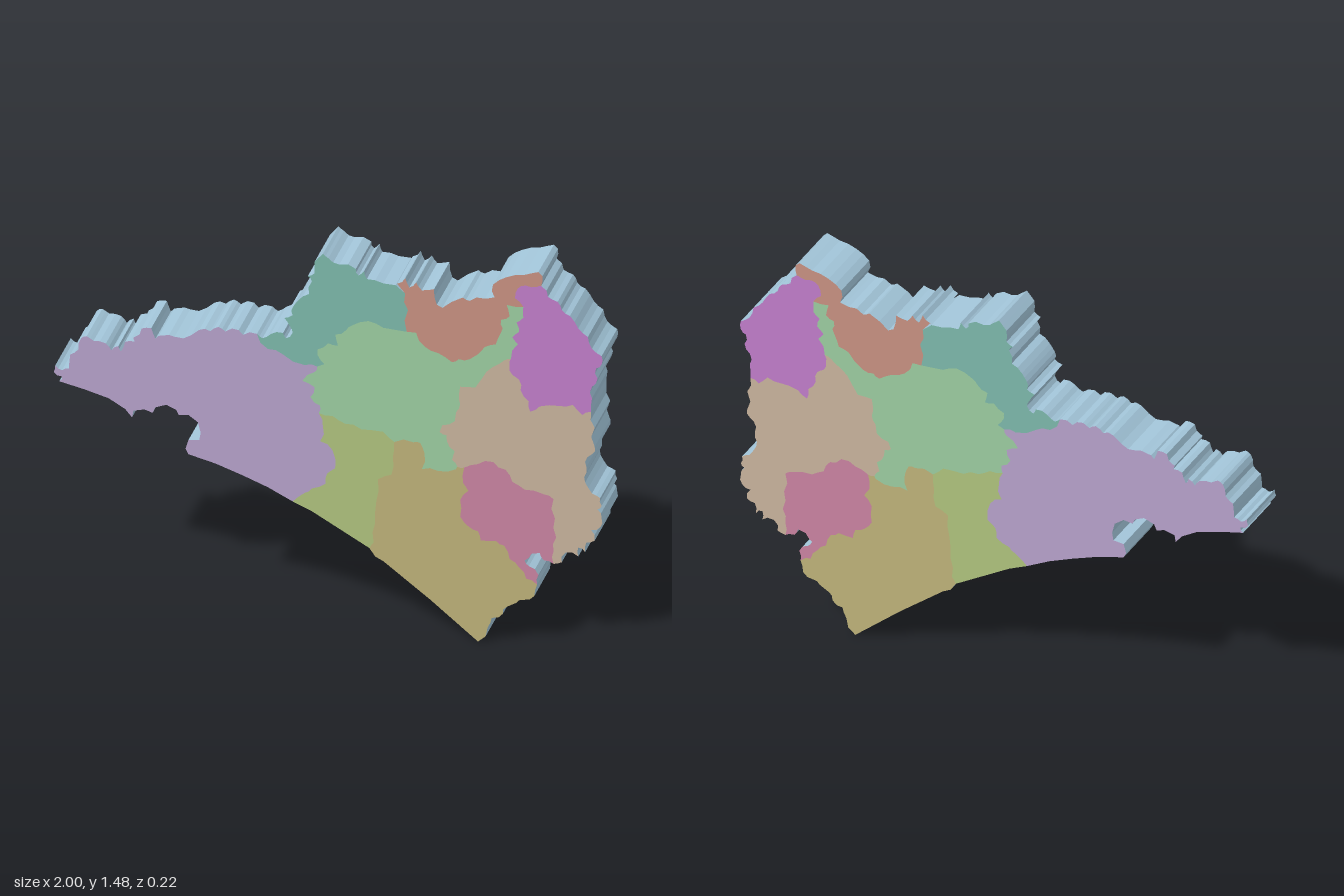
import * as THREE from 'three';

const HALF = 0.112; // half of the slab thickness

const mat = (name, color, side = THREE.FrontSide) => {
  const m = new THREE.MeshStandardMaterial({ color, side });
  m.name = name;
  return m;
};

// Smooth shoreline stretches, x and y in turn, running clockwise
const SMOOTH = {
  westCoast: [-.13, .47, -.22, .515, -.31, .55, -.41, .585, -.51, .61, -.52, .63, -.51, .665, -.47, .67, -.465, .7, -.475, .74,
    -.51, .765, -.545, .76, -.555, .78, -.59, .795, -.63, .78, -.64, .757, -.67, .767, -.71, .757, -.715, .73, -.74, .76,
    -.8, .795, -.89, .82, -.98, .84],
  southCoast: [.545, 0, .37, .145, .2, .275, .17, .29, .15, .32],
  middleCoast: [.15, .32, .01, .4, -.06, .44, -.13, .47],
};

// Jagged outer borders, clockwise
const OUTER = {
  westNorth: [-.98, .84, -.97, .86, -1, .875, -.995, .9, -.97, .885, -.945, .895, -.94, .95, -.91, .975, -.9, 1.02, -.88, 1.03,
    -.855, 1.015, -.81, 1.01, -.79, .985, -.765, 1.005, -.755, .985, -.74, 1.025, -.705, 1.03, -.71, 1.045, -.68, 1.085,
    -.645, 1.09, -.63, 1.05, -.6, 1.067, -.56, 1.067, -.5, 1.08, -.47, 1.105, -.43, 1.105, -.4, 1.125, -.375, 1.11,
    -.35, 1.125, -.31, 1.105, -.26, 1.115],
  tealNorth: [-.26, 1.115, -.24, 1.1, -.21, 1.12, -.165, 1.13, -.155, 1.11, -.13, 1.135, -.14, 1.16, -.16, 1.19, -.13, 1.205,
    -.13, 1.235, -.11, 1.265, -.07, 1.295, -.06, 1.345, -.075, 1.365, -.05, 1.38, -.05, 1.425, -.02, 1.46, 0, 1.445,
    .04, 1.425, .1, 1.415, .11, 1.39, .13, 1.41, .14, 1.38, .2, 1.37, .28, 1.34],
  clayNorth: [.28, 1.34, .25, 1.375, .28, 1.4, .295, 1.365, .32, 1.388, .34, 1.36, .385, 1.37, .395, 1.31, .415, 1.3, .49, 1.35,
    .515, 1.34, .57, 1.355, .605, 1.365, .6, 1.415, .65, 1.45, .715, 1.467, .765, 1.484, .78, 1.47, .775, 1.43],
  magentaEast: [.775, 1.43, .8, 1.39, .835, 1.375, .85, 1.345, .88, 1.325, .91, 1.28, .945, 1.25, .96, 1.205, .995, 1.18,
    .995, 1.147, .975, 1.13, .98, 1.09, .96, 1.055, .96, 1.01, .957, .955],
  tanEast: [.957, .955, .97, .895, .97, .82, .96, .79, .935, .757, .94, .715, .935, .675, .96, .635, .99, .62, .995, .59,
    .98, .575, .995, .54, .99, .505, .957, .49, .97, .45, .94, .44, .935, .4, .91, .415, .91, .38, .865, .39, .85, .35, .82, .34],
  pinkEast: [.82, .34, .785, .35, .77, .377, .74, .37, .715, .34, .73, .32, .765, .29, .76, .25],
  khakiEast: [.76, .25, .75, .205, .71, .185, .685, .17, .65, .15, .635, .12, .595, .1, .58, .06, .545, 0],
};

// Borders shared by two districts
const INNER = {
  tealLilac: [-.26, 1.115, -.22, 1.06, -.165, 1.045, -.085, 1.013, -.04, 1.013],
  tealGreen: [-.04, 1.013, -.015, 1.025, -.04, 1.06, -.04, 1.08, 0, 1.11, .035, 1.105, .025, 1.147, .065, 1.17, .085, 1.19,
    .145, 1.215, .2, 1.195, .285, 1.19],
  tealClay: [.28, 1.34, .29, 1.275, .285, 1.19],
  lilacGreen: [-.04, 1.013, -.05, .99, -.095, .95, -.05, .93, -.065, .89, -.03, .86, -.035, .83],
  lilacOlive: [-.035, .83, -.02, .78, -.03, .72, .015, .69, .025, .62, -.005, .595, -.01, .555, -.06, .53, -.085, .51, -.13, .47],
  oliveGreen: [-.035, .83, .015, .825, .06, .8, .12, .785, .2, .785, .24, .75],
  oliveKhaki: [.24, .75, .235, .69, .23, .62, .18, .595, .175, .51, .17, .42, .165, .345, .15, .32],
  khakiGreen: [.24, .75, .31, .757, .335, .757, .35, .72, .34, .655, .4, .655, .465, .67, .47, .68],
  greenTan: [.47, .68, .45, .705, .46, .74, .44, .757, .43, .8, .405, .81, .415, .837, .46, .858, .465, .895, .48, .93,
    .475, .96, .48, .997, .535, 1, .56, 1.04, .6, 1.09, .64, 1.12, .665, 1.13],
  khakiTan: [.47, .68, .495, .68],
  khakiPink: [.495, .68, .49, .62, .51, .59, .48, .55, .48, .485, .51, .45, .545, .435, .555, .4, .61, .405, .64, .39,
    .66, .34, .695, .31, .72, .27, .76, .25],
  pinkTan: [.495, .68, .545, .7, .6, .715, .645, .69, .67, .645, .715, .62, .785, .61, .82, .595, .825, .52, .83, .445,
    .82, .39, .82, .34],
  tanMagenta: [.665, 1.13, .66, 1.1, .67, 1.067, .695, 1.05, .7, 1.01, .73, .97, .735, .93, .77, .955, .84, .965,
    .89, .975, .925, .94, .957, .955],
  greenMagenta: [.71, 1.34, .71, 1.297, .685, 1.275, .695, 1.24, .67, 1.215, .69, 1.19, .665, 1.13],
  clayMagenta: [.71, 1.34, .68, 1.37, .69, 1.41, .72, 1.425, .76, 1.425, .775, 1.43],
  greenClay: [.285, 1.19, .32, 1.19, .35, 1.14, .4, 1.12, .45, 1.09, .475, 1.105, .515, 1.11, .57, 1.165, .61, 1.18,
    .62, 1.21, .635, 1.245, .63, 1.28, .66, 1.297, .65, 1.34, .71, 1.34],
};

// Each district: colour and the borders round it ('-' walks a border backwards)
const DISTRICTS = {
  lilac: [0xb5a0c9, 'westCoast westNorth tealLilac lilacGreen lilacOlive'],
  teal: [0x7bb7a9, 'tealNorth tealClay -tealGreen -tealLilac'],
  clay: [0xc69080, 'clayNorth -clayMagenta -greenClay -tealClay'],
  magenta: [0xbf7cc8, 'magentaEast -tanMagenta -greenMagenta clayMagenta'],
  tan: [0xc7b29b, 'tanEast -pinkTan -khakiTan greenTan tanMagenta'],
  pink: [0xc882a0, 'pinkEast -khakiPink pinkTan'],
  khaki: [0xbcb078, 'khakiEast southCoast -oliveKhaki khakiGreen khakiTan khakiPink'],
  olive: [0xadc17c, 'middleCoast -lilacOlive oliveGreen oliveKhaki'],
  green: [0x9acb9f, 'tealGreen greenClay greenMagenta -greenTan -khakiGreen -oliveGreen -lilacGreen'],
};
const OUTLINE = 'westCoast westNorth tealNorth clayNorth magentaEast tanEast pinkEast khakiEast southCoast middleCoast';

let seed = 7;
const random = () => (seed = (seed * 16807) % 2147483647) / 2147483647;

// Turn a flat list into points, adding a small kink to the middle of each step
function border(list, rough) {
  const points = [];
  for (let i = 0; i < list.length; i += 2) {
    const p = new THREE.Vector2(list[i], list[i + 1]);
    if (rough && i) {
      const q = points[points.length - 1];
      const k = (random() - 0.5) * rough;
      points.push(new THREE.Vector2((p.x + q.x) / 2 - (p.y - q.y) * k, (p.y + q.y) / 2 + (p.x - q.x) * k));
    }
    points.push(p);
  }
  return points;
}

// Join named borders into one closed loop
function loop(names, borders) {
  return names.split(' ').flatMap((n) => {
    const pts = n[0] === '-' ? [...borders[n.slice(1)]].reverse() : borders[n];
    return pts.slice(0, -1);
  });
}

// Upright wall following the outline, one flat face per step
function wallGeometry(points) {
  const pos = [];
  points.forEach((a, i) => {
    const b = points[(i + 1) % points.length];
    pos.push(a.x, a.y, HALF, b.x, b.y, HALF, b.x, b.y, -HALF);
    pos.push(a.x, a.y, HALF, b.x, b.y, -HALF, a.x, a.y, -HALF);
  });
  const g = new THREE.BufferGeometry();
  g.setAttribute('position', new THREE.Float32BufferAttribute(pos, 3));
  g.computeVertexNormals();
  return g;
}

export function createModel() {
  seed = 7;
  const model = new THREE.Group();
  model.name = 'districtMap';

  const borders = {};
  for (const [set, rough] of [[SMOOTH, 0], [OUTER, 0.4], [INNER, 0.3]]) {
    for (const name in set) borders[name] = border(set[name], rough);
  }

  // Front and back face of every district
  for (const name in DISTRICTS) {
    const [color, names] = DISTRICTS[name];
    const material = mat(name, color);
    const points = loop(names, borders);
    const district = new THREE.Group();
    district.name = name + 'District';

    const front = new THREE.Mesh(new THREE.ShapeGeometry(new THREE.Shape(points)), material);
    front.name = name + 'Front';
    front.position.z = HALF;

    const mirrored = points.map((p) => new THREE.Vector2(-p.x, p.y));
    const back = new THREE.Mesh(new THREE.ShapeGeometry(new THREE.Shape(mirrored)), material);
    back.name = name + 'Back';
    back.rotation.y = Math.PI;
    back.position.z = -HALF;

    district.add(front, back);
    model.add(district);
  }

  // Outer edge of the slab
  const wall = new THREE.Mesh(wallGeometry(loop(OUTLINE, borders)), mat('paleBlue', 0xa3c6da));
  wall.name = 'outerWall';
  model.add(wall);
  return model;
}
